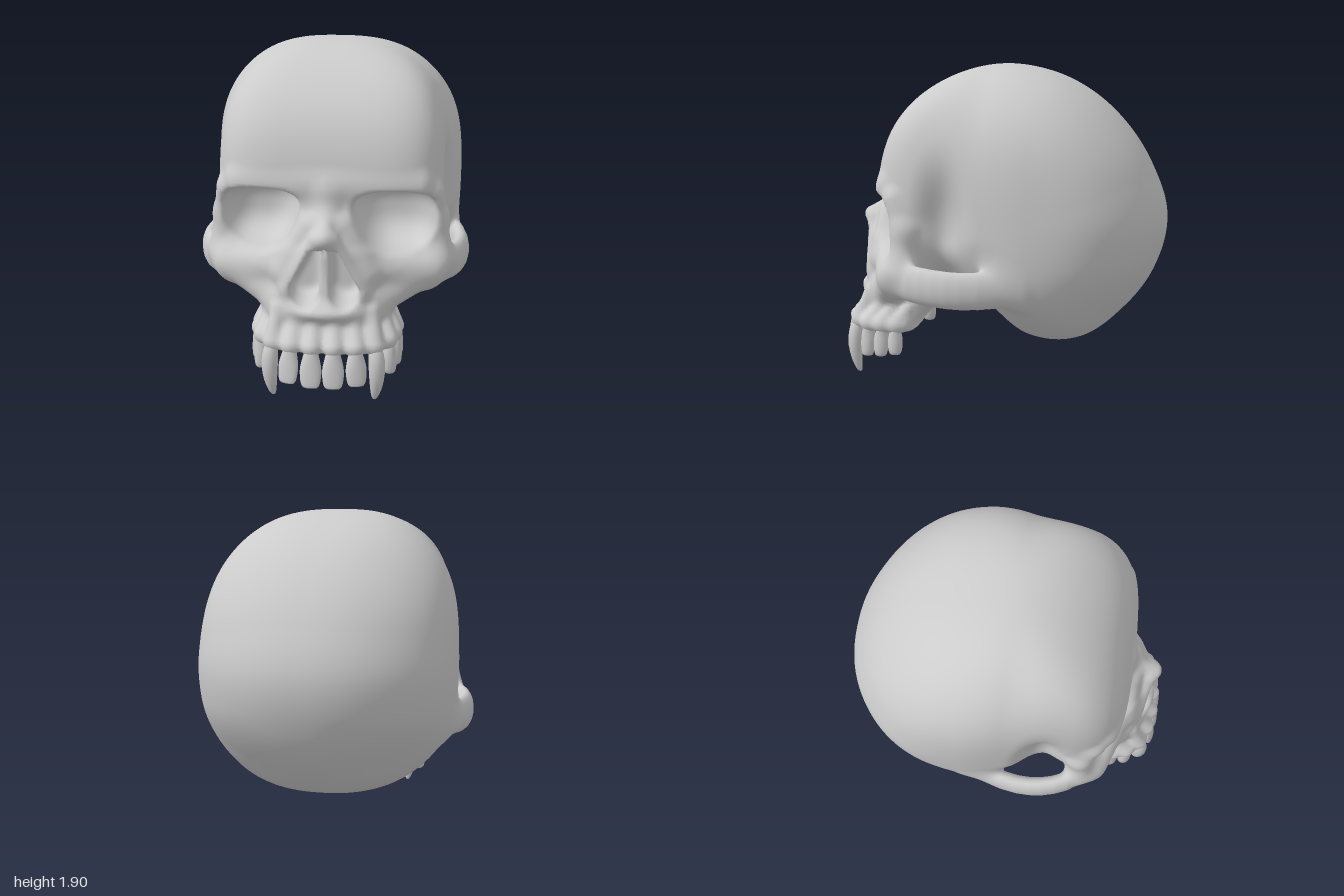
import * as THREE from 'three';
import { mergeVertices } from 'three/addons/utils/BufferGeometryUtils.js';

const mix = (a, b, t) => a + (b - a) * t;
const step = (a, b, v) => THREE.MathUtils.smoothstep((v - a) / (b - a), 0, 1);

// Soft union and soft cut of two distance values
const join = (a, b, k) => Math.min(a, b) - Math.max(k - Math.abs(a - b), 0) ** 2 / (4 * k);
const cut = (a, b, k) => -join(-a, b, k);

// Basic solids: a bar with rounded ends and an ellipsoid
function bar(x, y, z, [ax, ay, az], [bx, by, bz], ra, rb = ra) {
  const dx = bx - ax, dy = by - ay, dz = bz - az;
  const px = x - ax, py = y - ay, pz = z - az;
  const t = Math.min(1, Math.max(0, (px * dx + py * dy + pz * dz) / (dx * dx + dy * dy + dz * dz)));
  return Math.hypot(px - dx * t, py - dy * t, pz - dz * t) - mix(ra, rb, t);
}
const blob = (x, y, z, [cx, cy, cz], [rx, ry, rz]) =>
  (Math.hypot((x - cx) / rx, (y - cy) / ry, (z - cz) / rz) - 1) * Math.min(rx, ry, rz);

// Half of the tooth row: position, half width, tip height, turn, kind
const TEETH = [
  { x: 0.061, z: 0.92, w: 0.062, tip: 0.12, turn: 0.05, kind: 'incisor' },
  { x: 0.182, z: 0.905, w: 0.06, tip: 0.135, turn: 0.25, kind: 'incisor' },
  { x: 0.288, z: 0.865, w: 0.045, tip: 0.005, turn: 0.6, kind: 'canine' },
  { x: 0.358, z: 0.78, w: 0.046, tip: 0.14, turn: 1.1, kind: 'cheekTooth' },
  { x: 0.385, z: 0.69, w: 0.047, tip: 0.15, turn: 1.3, kind: 'cheekTooth' },
  { x: 0.39, z: 0.6, w: 0.046, tip: 0.165, turn: 1.45, kind: 'cheekTooth' },
];

// Centre line of the cheek arch, at half height
const ARCH = new THREE.CatmullRomCurve3([[0.57, 0.343, 0.53], [0.69, 0.342, 0.43],
  [0.755, 0.336, 0.26], [0.757, 0.332, 0.07], [0.68, 0.34, -0.22]]
  .map((p) => new THREE.Vector3(...p))).getPoints(10).map((p) => p.toArray());

// Side outline of the braincase: radius every 20 degrees, from the front over the top
const OUTLINE = [0.78, 0.84, 0.9, 0.92, 0.919, 0.888, 0.862, 0.85, 0.862,
  0.9, 0.885, 0.86, 0.84, 0.735, 0.58, 0.6, 0.6, 0.66];
function outline(angle) {
  const u = (angle / (2 * Math.PI) + 1) * 18, i = Math.floor(u), t = u - i;
  const [a, b, c, d] = [-1, 0, 1, 2].map((o) => OUTLINE[(i + o + 18) % 18]);
  return b + 0.5 * t * (c - a + t * (2 * a - 5 * b + 4 * c - d + t * (3 * (b - c) + d - a)));
}

function braincase(a, y, z) {
  const dz = z + 0.1, dy = y - 1, R = outline(Math.atan2(dy, dz));
  const narrow = step(0.95, 0.6, y) * step(-0.1, 0.25, z);
  const W = mix(0.765, 0.672, step(-0.25, 0.4, z)) * mix(1, 0.76, narrow);
  const n = 2.25 + 0.65 * step(-1, -0.3, z) + 1.7 * step(0, 0.5, z)
    - 0.25 * step(1.3, 1.8, y) - 0.4 * step(0.8, 0.4, y);
  return (((Math.hypot(dy, dz) / R) ** n + (a / W) ** n) ** (1 / n) - 1) * 0.75;
}

// Upper jaw: a tapering horseshoe column
function upperJaw(a, y, z) {
  const low = step(0.46, 0.34, y), up = step(0.45, 0.85, y);
  const rx = 0.36 + 0.06 * low - 0.08 * up;
  const front = 0.32 + 0.06 * low - 0.06 * up;
  const back = mix(0.07, 0.3, step(0.33, 0.6, y));
  const q = (a / rx) ** 3 + (Math.abs(z - 0.55) / (z > 0.55 ? front : back)) ** 3;
  return cut(cut((Math.cbrt(q) - 1) * 0.33, y - 0.3, 0.05), 0.85 - y, 0.05);
}

// Eye socket: a bowl with a flat top and a slanting inner edge
function eyeSocket(a, y, z) {
  const t = Math.min(1.3, Math.max(-0.3, (1.18 - y) / 0.36));
  const inner = 0.1 + 0.14 * t, outer = 0.625 - 0.02 * t;
  const q = (Math.abs(a - (inner + outer) / 2) / ((outer - inner) / 2)) ** 2.6
    + (Math.abs(y - 1) / 0.185) ** 2.6 + (Math.max(0, 0.66 - z) / 0.28) ** 2.6;
  return (q ** (1 / 2.6) - 1) * 0.2;
}

// Whole bone as one blended solid, mirrored through |x|
function bone(x, y, z) {
  const a = Math.abs(x);
  let d = braincase(a, y, z);
  // hollow of the temple
  d = cut(d, blob(a, y, z, [0.83, 0.98, 0.25], [0.25, 0.42, 0.16]), 0.08);
  // skull base, back of the eye socket, middle of the face, upper jaw
  d = join(d, blob(a, y, z, [0, 0.62, 0.35], [0.35, 0.17, 0.3]), 0.08);
  d = join(d, blob(a, y, z, [0.41, 0.86, 0.43], [0.22, 0.26, 0.17]), 0.06);
  d = join(d, blob(a, y, z, [0, 0.82, 0.57], [0.36, 0.32, 0.22]), 0.06);
  d = join(d, upperJaw(a, y, z), 0.06);
  // brow and outer rim of the eye socket
  d = join(d, bar(a, y, z, [0, 1.21, 0.64], [0.5, 1.2, 0.59], 0.06), 0.07);
  d = join(d, bar(a, y, z, [0.585, 1.14, 0.53], [0.61, 0.97, 0.47], 0.055, 0.06), 0.06);
  d = join(d, bar(a, y, z, [0.61, 0.97, 0.47], [0.63, 0.74, 0.49], 0.06, 0.075), 0.06);
  // cheekbone, its lower buttress, and the arch: a strap twice as tall as thick
  d = join(d, bar(a, y, z, [0.2, 0.73, 0.67], [0.58, 0.7, 0.54], 0.11, 0.1), 0.06);
  d = join(d, bar(a, y, z, [0.27, 0.54, 0.67], [0.54, 0.66, 0.54], 0.1, 0.09), 0.07);
  if (a > 0.35) {
    let strap = 1;
    for (let i = 0; i < 10; i++) strap = Math.min(strap, bar(a, y * 0.5, z, ARCH[i], ARCH[i + 1], 0.053));
    d = join(d, strap, 0.06);
  }
  // nose bridge, side walls and rims of the nose opening, spine below it
  d = join(d, bar(a, y, z, [0, 1.15, 0.64], [0, 1.04, 0.69], 0.085, 0.06), 0.06);
  d = join(d, bar(a, y, z, [0, 1.04, 0.69], [0, 0.965, 0.86], 0.06, 0.045), 0.05);
  d = join(d, bar(a, y, z, [0.08, 0.98, 0.71], [0.21, 0.72, 0.72], 0.07, 0.08), 0.05);
  d = join(d, bar(a, y, z, [0.04, 0.94, 0.83], [0.2, 0.64, 0.79], 0.045), 0.05);
  d = join(d, blob(a, y, z, [0, 0.53, 0.83], [0.15, 0.045, 0.085]), 0.06);
  // swellings over the tooth roots
  if (y < 0.65 && z > 0.4) for (const t of TEETH) {
    const top = t.kind === 'canine' ? 0.52 : 0.44;
    d = join(d, bar(a, y, z, [t.x, 0.345, t.z], [t.x * 0.93, top, t.z - 0.07], 0.05, 0.03), 0.035);
  }
  // eye sockets, nose cavities and palate
  d = cut(d, eyeSocket(a, y, z), 0.03);
  const nose = bar(a, y, 0, [0.055, 0.865, 0], [0.112, 0.64, 0], 0.03, 0.084);
  d = cut(d, cut(nose, z - 0.65, 0.06), 0.025);
  return cut(d, blob(a, y, z, [0, 0.29, 0.64], [0.27, 0.06, 0.2]), 0.04);
}

// Skin a solid: one vertex per crossed grid cell, one quad per crossed grid edge
function skin(f, lo, n, h) {
  const stride = [1, n[0], n[0] * n[1]], total = n[0] * n[1] * n[2];
  const val = new Float32Array(total).fill(1), cell = new Int32Array(total);
  const each = (fn) => {
    for (let k = 1; k < n[2] - 1; k++) for (let j = 1; j < n[1] - 1; j++)
      for (let i = 1; i < n[0] - 1; i++) fn([i, j, k], i + stride[1] * j + stride[2] * k);
  };
  const slope = (q, e) => q.map((_, d) => {
    const l = [...q], r = [...q];
    l[d] -= e; r[d] += e;
    return (f(...r) - f(...l)) / (2 * e);
  });
  each((p, id) => { val[id] = f(...p.map((v, d) => lo[d] + v * h)); });
  const pos = [], nor = [], index = [];
  const corners = [0, 1, 2, 3, 4, 5, 6, 7].map((c) => (c & 1) + ((c >> 1) & 1) * stride[1] + (c >> 2) * stride[2]);
  each((p, id) => {
    const s = [0, 0, 0];
    let count = 0;
    for (let c = 0; c < 8; c++) for (let d = 0; d < 3; d++) {
      if ((c >> d) & 1) continue;
      const u = val[id + corners[c]], v = val[id + corners[c | (1 << d)]];
      if ((u < 0) === (v < 0)) continue;
      for (let e = 0; e < 3; e++) s[e] += e === d ? u / (u - v) : (c >> e) & 1;
      count++;
    }
    if (!count) return;
    // settle the vertex on the surface
    const q = s.map((v, d) => lo[d] + (p[d] + v / count) * h);
    const g = slope(q, 0.004), len = Math.hypot(...g) || 1;
    const move = THREE.MathUtils.clamp(f(...q) / len, -h / 2, h / 2);
    g.forEach((v, d) => { q[d] -= (move * v) / len; });
    cell[id] = pos.length / 3;
    pos.push(...q);
    nor.push(...new THREE.Vector3(...slope(q, 0.01)).normalize().toArray());
  });
  each((p, id) => {
    for (let d = 0; d < 3; d++) {
      const inside = val[id] < 0;
      if (inside === val[id + stride[d]] < 0) continue;
      const e1 = stride[(d + 1) % 3], e2 = stride[(d + 2) % 3];
      const q = [id, id - e1, id - e1 - e2, id - e2].map((c) => cell[c]);
      if (!inside) q.reverse();
      index.push(q[0], q[1], q[2], q[0], q[2], q[3]);
    }
  });
  const geo = new THREE.BufferGeometry();
  geo.setAttribute('position', new THREE.Float32BufferAttribute(pos, 3));
  geo.setAttribute('normal', new THREE.Float32BufferAttribute(nor, 3));
  return geo.setIndex(index);
}

// Tooth crown: a sphere drawn out into a chisel, fang or peg
function toothGeometry({ w, tip, kind }) {
  const geo = new THREE.SphereGeometry(1, 16, 14).deleteAttribute('uv').deleteAttribute('normal');
  const p = geo.attributes.position, top = 0.36, fang = kind === 'canine';
  for (let i = 0; i < p.count; i++) {
    const t = (1 - p.getY(i)) / 2, r = Math.hypot(p.getX(i), p.getZ(i));
    const round = r < 1e-4 ? 0 : r ** (fang ? 0.7 : 0.28) / r;
    const wide = fang ? 1.15 - 0.5 * t * t : 0.65 + 0.35 * step(0.05, 0.65, t);
    const deep = kind === 'incisor' ? 1 - 0.55 * t : fang ? 1.3 - 0.6 * t : 0.95;
    const lean = (kind === 'cheekTooth' ? 0.015 : 0.055) * t * (fang ? 2 * (1 - t) : 1);
    p.setXYZ(i, p.getX(i) * round * w * wide, top - t * (top - tip), p.getZ(i) * round * 0.043 * deep + lean);
  }
  const merged = mergeVertices(geo);
  merged.computeVertexNormals();
  return merged;
}

export function createModel() {
  const model = new THREE.Group(), teeth = new THREE.Group();
  model.name = 'skull';
  teeth.name = 'upperTeeth';
  const material = new THREE.MeshStandardMaterial({ color: 0xcccccc });
  const cranium = new THREE.Mesh(skin(bone, [-0.9, 0.18, -1.06], [91, 90, 106], 0.02), material);
  cranium.name = 'craniumAndFace';
  model.add(cranium, teeth);
  for (const t of TEETH) for (const s of [1, -1]) {
    const tooth = new THREE.Mesh(toothGeometry(t), material);
    tooth.name = (s > 0 ? 'left ' : 'right ') + t.kind;
    tooth.position.set(s * t.x, 0, t.z);
    tooth.rotation.y = s * t.turn;
    teeth.add(tooth);
  }
  return model;
}
